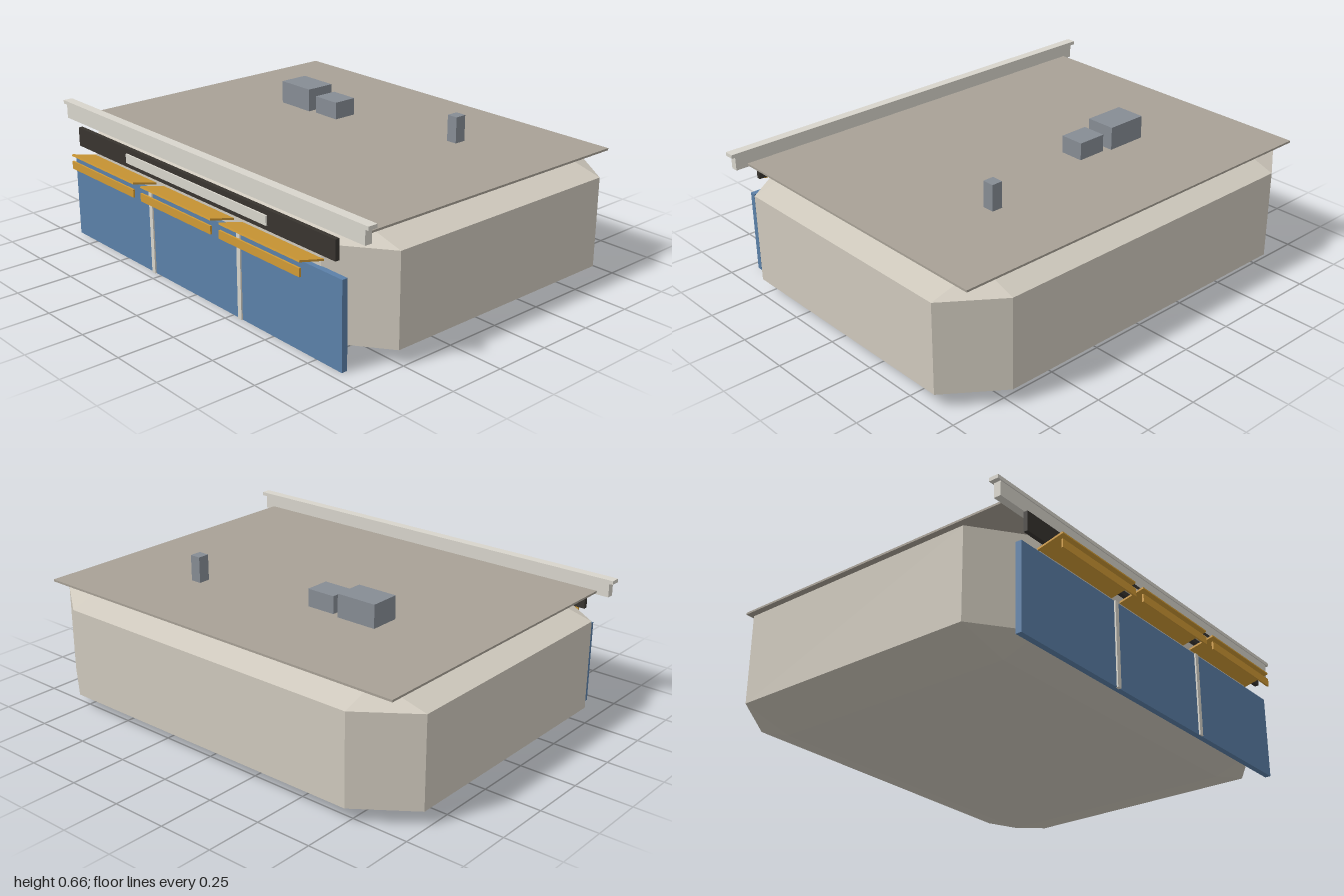
import * as THREE from 'three';
import { ConvexGeometry } from 'three/addons/geometries/ConvexGeometry.js';

const mat = (color) => new THREE.MeshStandardMaterial({ color, flatShading: true });
const wall = mat(0xcfc9bd), roofMat = mat(0xa8a196), trim = mat(0xd8d5cc), dark = mat(0x38342f);
const glass = mat(0x5b80a8), amber = mat(0xd09a35), metal = mat(0x868c94);

// Box given by its minimum and maximum on each axis
function box(name, material, [x0, x1], [y0, y1], [z0, z1]) {
  const mesh = new THREE.Mesh(new THREE.BoxGeometry(x1 - x0, y1 - y0, z1 - z0), material);
  mesh.position.set((x0 + x1) / 2, (y0 + y1) / 2, (z0 + z1) / 2);
  mesh.name = name;
  return mesh;
}

// Box with every edge chamfered: three points per corner, outer on one axis and inner on the others
function chamferedBox(outer, inner) {
  const points = [];
  for (const sx of [-1, 1]) for (const sy of [-1, 1]) for (const sz of [-1, 1]) {
    for (let axis = 0; axis < 3; axis++) {
      const [x, y, z] = inner.map((v, i) => (i === axis ? outer[i] : v));
      points.push(new THREE.Vector3(sx * x, sy * y, sz * z));
    }
  }
  return new ConvexGeometry(points);
}

export function createModel() {
  const model = new THREE.Group();
  model.name = 'storefront';

  // Main building volume
  const body = new THREE.Mesh(chamferedBox([0.987, 0.259, 0.742], [0.75, 0.198, 0.57]), wall);
  body.position.set(0, 0.262, -0.058);
  body.name = 'buildingBody';
  model.add(body);

  // Roof plate and front parapet with its cap
  model.add(
    box('roofPlate', roofMat, [-0.927, 0.927], [0.534, 0.543], [-0.755, 0.645]),
    box('parapet', trim, [-0.98, 0.98], [0.525, 0.59], [0.65, 0.682]),
    box('parapetCap', trim, [-1, 1], [0.588, 0.604], [0.643, 0.686]),
  );

  // Sign band with a pale blank panel
  model.add(
    box('signBand', dark, [-0.852, 0.852], [0.43, 0.515], [0.686, 0.705]),
    box('signPanel', trim, [-0.47, 0.47], [0.451, 0.492], [0.703, 0.712]),
  );

  // Shop window with two mullions
  model.add(box('shopWindow', glass, [-0.89, 0.89], [0, 0.372], [0.68, 0.706]));
  for (const x of [-0.297, 0.297]) {
    model.add(box('mullion', trim, [x - 0.011, x + 0.011], [0, 0.372], [0.7, 0.713]));
  }

  // Three awnings: a tilted canopy with a valance hanging at the front
  for (const x of [-0.527, 0, 0.527]) {
    const awning = new THREE.Group();
    awning.name = 'awning';
    const canopy = box('canopy', amber, [-0.237, 0.237], [0.411, 0.419], [0.679, 0.8]);
    canopy.rotation.x = -0.24;
    awning.add(canopy, box('valance', amber, [-0.237, 0.237], [0.367, 0.402], [0.791, 0.799]));
    awning.position.x = x;
    model.add(awning);
  }

  // Rooftop equipment
  model.add(
    box('largeRoofUnit', metal, [-0.475, -0.288], [0.54, 0.645], [-0.293, -0.158]),
    box('smallRoofUnit', metal, [-0.252, -0.118], [0.54, 0.62], [-0.278, -0.168]),
    box('roofVent', metal, [0.415, 0.465], [0.54, 0.658], [-0.375, -0.322]),
  );
  return model;
}
